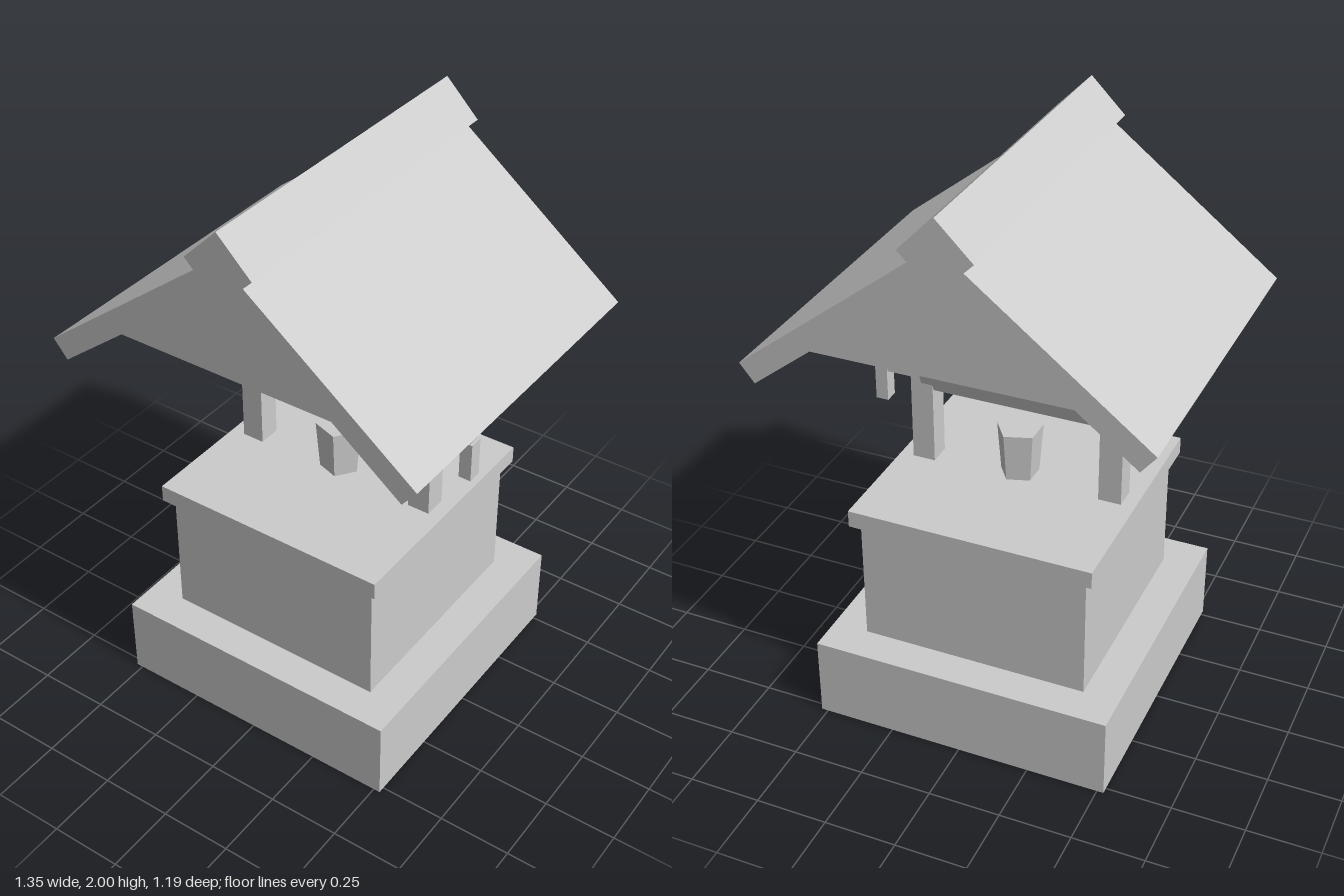
import * as THREE from 'three';

export function createModel() {
  const model = new THREE.Group();
  model.name = 'wishingWell';
  const stone = new THREE.MeshStandardMaterial({ color: 0xcccccc });
  stone.name = 'plain grey';

  function add(name, geometry, x = 0, y = 0, z = 0) {
    // unshared corners keep every facet flat
    const flat = geometry.index ? geometry.toNonIndexed() : geometry;
    flat.computeVertexNormals();
    const mesh = new THREE.Mesh(flat, stone);
    mesh.name = name;
    mesh.position.set(x, y, z);
    model.add(mesh);
    return mesh;
  }

  // Box given by its width, depth and vertical span
  function block(name, w, d, y0, y1, x = 0) {
    return add(name, new THREE.BoxGeometry(w, y1 - y0, d), x, (y0 + y1) / 2);
  }

  // Front-facing outline extruded evenly about z = 0
  function prism(name, points, depth) {
    const shape = new THREE.Shape(points.map(([x, y]) => new THREE.Vector2(x, y)));
    const geometry = new THREE.ExtrudeGeometry(shape, { depth, bevelEnabled: false });
    geometry.translate(0, 0, -depth / 2);
    return add(name, geometry);
  }

  // Stepped base
  block('plinth', 1.046, 1.046, 0, 0.29);
  block('wellBody', 0.795, 0.795, 0.29, 0.74);
  block('wellRim', 0.853, 0.853, 0.74, 0.8);

  // Posts
  for (const [name, side] of [['leftPost', 1], ['rightPost', -1]]) {
    block(name, 0.08, 0.08, 0.8, 1.42, side * 0.338);
  }

  // Roof: two sloping slabs, filled gable and square ridge beam on its corner
  prism('roofSlabs', [
    [0.675, 1.392], [0, 1.916], [-0.675, 1.392],
    [-0.625, 1.33], [0, 1.816], [0.625, 1.33],
  ], 1.194);
  prism('gable', [[-0.53, 1.41], [0.53, 1.41], [0, 1.823]], 0.96);
  prism('ridgeBeam', [[0, 1.76], [0.12, 1.88], [0, 2], [-0.12, 1.88]], 1.194);

  // Five-sided axle with one edge up
  const axle = new THREE.CylinderGeometry(0.056, 0.056, 0.68, 5);
  axle.rotateY(Math.PI / 2).rotateZ(Math.PI / 2);
  add('axle', axle, 0, 1.12, 0);

  // Crank handle
  block('crankArm', 0.185, 0.04, 1.1, 1.138, 0.4175);
  block('crankGrip', 0.044, 0.05, 0.99, 1.13, 0.497);

  // Five-sided bucket
  const bucket = new THREE.CylinderGeometry(0.082, 0.068, 0.175, 5);
  bucket.rotateY(Math.PI / 2);
  add('bucket', bucket, 0, 0.8975, 0);

  return model;
}
